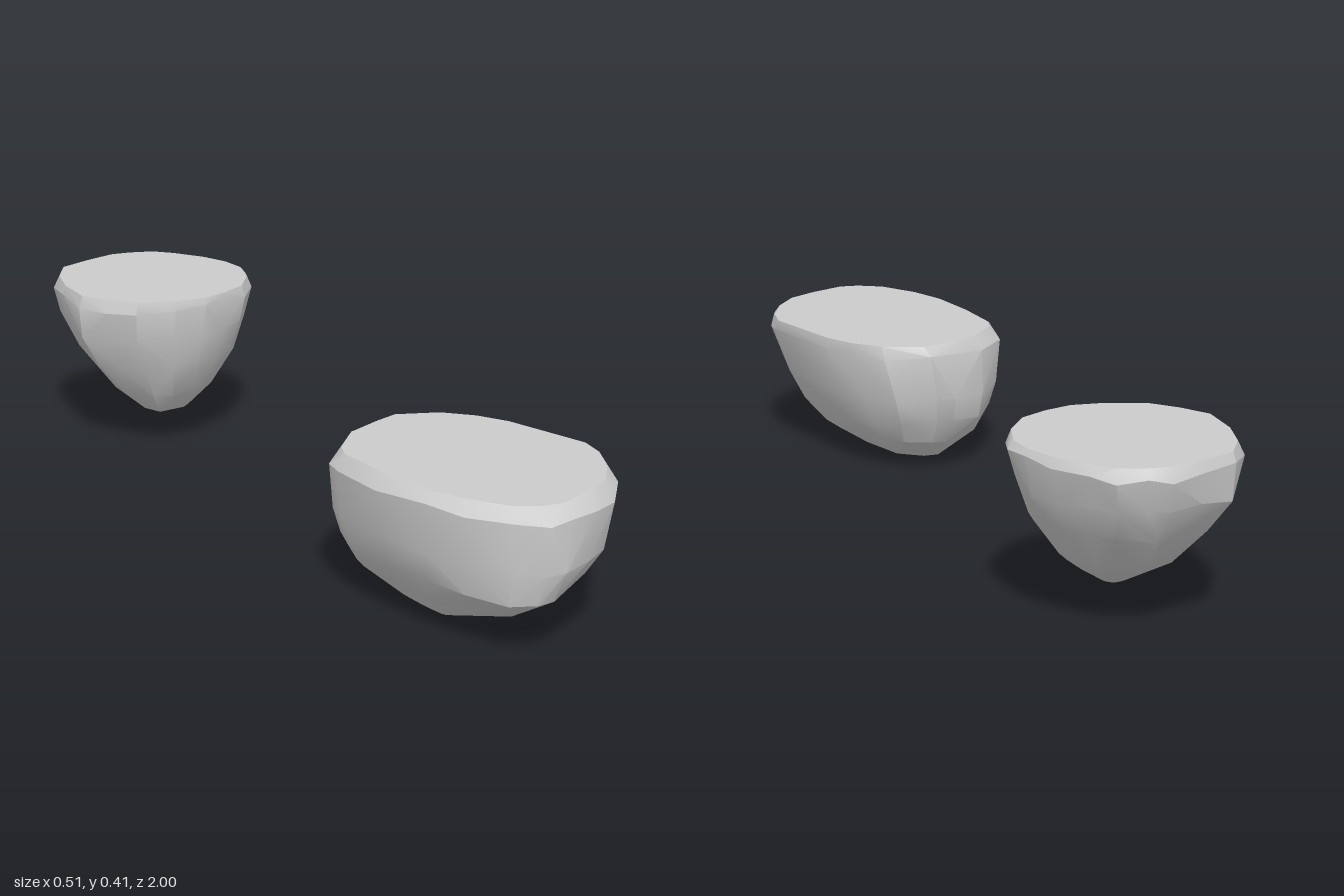
import * as THREE from 'three';
import { ConvexGeometry } from 'three/addons/geometries/ConvexGeometry.js';
import { toCreasedNormals } from 'three/addons/utils/BufferGeometryUtils.js';

const material = new THREE.MeshStandardMaterial({ color: 0xcccccc });

// Small seeded generator for the chipped surface
function seeded(seed) {
  let s = seed;
  return () => (s = (s * 16807) % 2147483647) / 2147483647;
}

// Flat-topped stone: the plan outline is fitted into the extents of each level,
// then the points are wrapped in a faceted hull.
// A level is [y, xMin, xMax, zMin, zMax]; the first level is the flat top.
function stone(name, outline, levels, seed) {
  const random = seeded(seed);
  const box = new THREE.Box2().setFromPoints(outline.map(([x, z]) => new THREE.Vector2(x, z)));
  const points = [];
  levels.forEach(([y, x0, x1, z0, z1], i) => {
    const cx = (x0 + x1) / 2, cz = (z0 + z1) / 2;
    const inner = i > 0 && i < levels.length - 1;
    for (const [px, pz] of outline) {
      const x = THREE.MathUtils.mapLinear(px, box.min.x, box.max.x, x0, x1);
      const z = THREE.MathUtils.mapLinear(pz, box.min.y, box.max.y, z0, z1);
      const chip = inner ? 1 - 0.035 * random() : 1;
      const lift = inner ? (random() - 0.5) * 0.02 : 0;
      points.push(new THREE.Vector3(cx + (x - cx) * chip, y + lift, cz + (z - cz) * chip));
    }
  });
  const mesh = new THREE.Mesh(toCreasedNormals(new ConvexGeometry(points), 0.4), material);
  mesh.name = name;
  return mesh;
}

export function createModel() {
  const group = new THREE.Group();
  group.name = 'steppingStones';

  // Long stone at the front
  group.add(stone('frontStone', [
    [0, 0.27], [0.1, 0.32], [0.16, 0.39], [0.2, 0.47], [0.235, 0.62], [0.258, 0.7], [0.245, 0.77],
    [0.2, 0.86], [0.14, 0.93], [0.06, 0.97], [-0.03, 1], [-0.08, 0.99], [-0.14, 0.95], [-0.2, 0.85],
    [-0.235, 0.75], [-0.255, 0.6], [-0.26, 0.45], [-0.24, 0.4], [-0.16, 0.32], [-0.06, 0.285],
  ], [
    [0.335, -0.23, 0.25, 0.3, 0.95],
    [0.305, -0.26, 0.26, 0.28, 1],
    [0.2, -0.25, 0.22, 0.27, 1],
    [0.13, -0.23, 0.185, 0.29, 0.97],
    [0.07, -0.19, 0.14, 0.33, 0.87],
    [0.02, -0.125, 0.05, 0.42, 0.72],
    [0, -0.11, -0.08, 0.47, 0.66],
  ], 7));

  // Round, deeply tapered stone at the back
  group.add(stone('backStone', [
    [0, -1], [0.05, -0.99], [0.11, -0.965], [0.15, -0.92], [0.2, -0.84], [0.225, -0.77], [0.23, -0.7],
    [0.2, -0.62], [0.14, -0.55], [0.07, -0.52], [0, -0.505], [-0.08, -0.52], [-0.17, -0.56],
    [-0.22, -0.62], [-0.26, -0.69], [-0.25, -0.8], [-0.22, -0.89], [-0.17, -0.96], [-0.08, -0.985],
  ], [
    [0.408, -0.245, 0.22, -0.985, -0.51],
    [0.385, -0.26, 0.235, -1, -0.5],
    [0.31, -0.25, 0.215, -0.985, -0.51],
    [0.23, -0.21, 0.18, -0.93, -0.535],
    [0.14, -0.14, 0.11, -0.84, -0.58],
    [0.09, -0.08, 0.05, -0.76, -0.63],
    [0.07, -0.04, 0.01, -0.72, -0.68],
  ], 23));

  return group;
}
